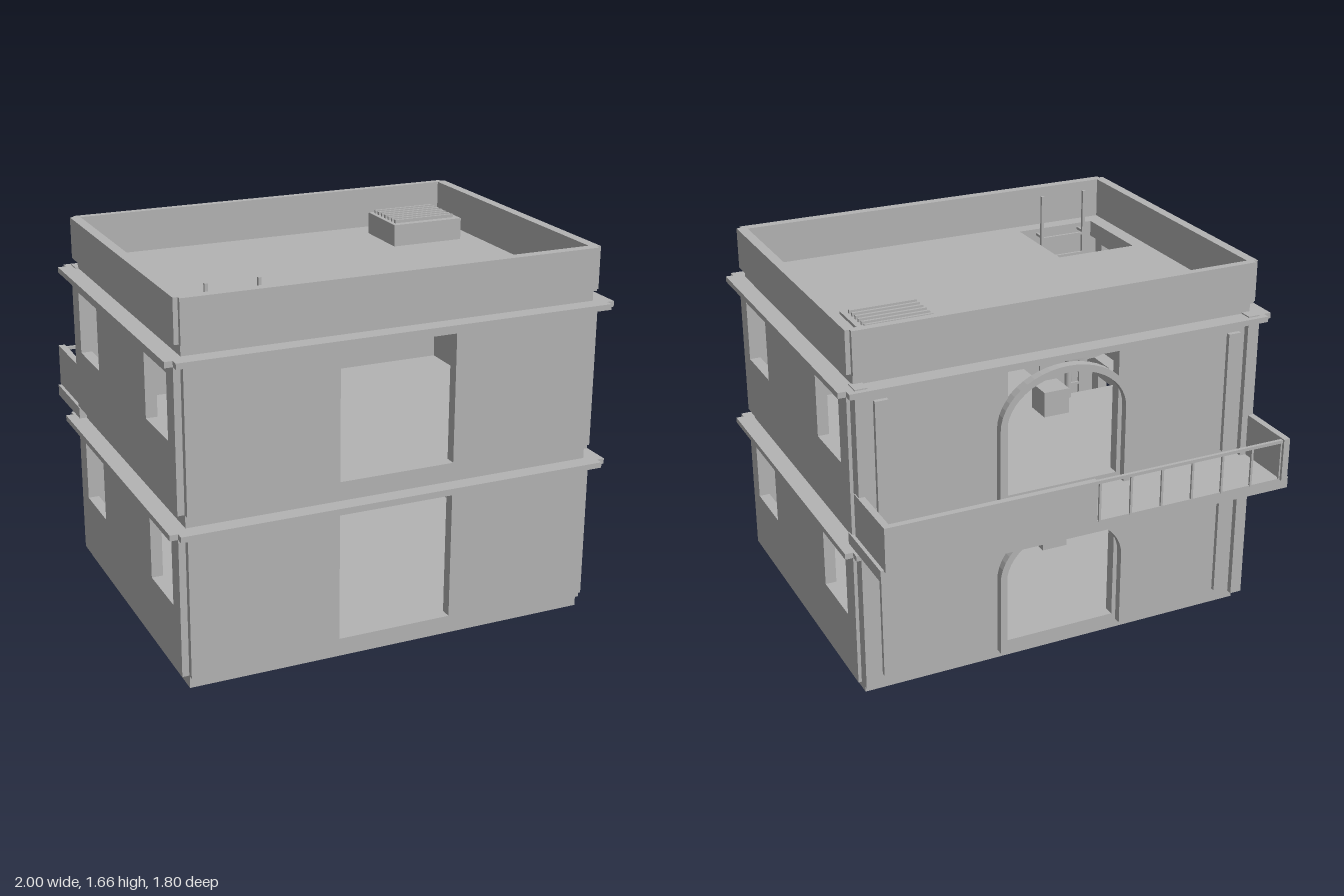
import * as THREE from 'three';

const stone = new THREE.MeshStandardMaterial({ color: 0xb3b3b3 });
stone.name = 'pale grey stone';

export function createModel() {
  const root = new THREE.Group();
  root.name = 'twoStoreyHouse';

  const add = (name, geo, parent = root) => {
    const m = new THREE.Mesh(geo, stone);
    m.name = name;
    parent.add(m);
    return m;
  };
  // Box given by its limits on each axis
  const box = (name, x0, x1, y0, y1, z0, z1, parent) => {
    const g = new THREE.BoxGeometry(x1 - x0, y1 - y0, z1 - z0);
    g.translate((x0 + x1) / 2, (y0 + y1) / 2, (z0 + z1) / 2);
    return add(name, g, parent);
  };
  const trace = (path, pts) => {
    pts.forEach(([x, y], i) => (i ? path.lineTo(x, y) : path.moveTo(x, y)));
    path.closePath();
    return path;
  };
  const rect = (x0, x1, y0, y1) => [[x0, y0], [x1, y0], [x1, y1], [x0, y1]];
  const extrude = (outline, holes, depth) => {
    const s = trace(new THREE.Shape(), outline);
    holes.forEach(h => s.holes.push(trace(new THREE.Path(), h)));
    return new THREE.ExtrudeGeometry(s, { depth, bevelEnabled: false });
  };
  // Horizontal plate from an (x, -z) outline
  const plate = (name, outline, holes, y0, y1) => {
    const g = extrude(outline, holes, y1 - y0);
    g.rotateX(-Math.PI / 2);
    g.translate(0, y0, 0);
    return add(name, g);
  };
  // Rectangle with small square notches at its corners
  const notched = (x, zBack, zFront, n) => {
    const b = -zBack, f = -zFront;
    return [[-x + n, f], [x - n, f], [x - n, f + n], [x, f + n], [x, b - n], [x - n, b - n],
      [x - n, b], [-x + n, b], [-x + n, b - n], [-x, b - n], [-x, f + n], [-x + n, f + n]];
  };

  const hatch = rect(-0.83, -0.44, -0.73, -0.31);
  const body = rect(-0.92, 0.92, -0.825, 0.56);

  // Floor slabs, cornices and parapet
  plate('baseSlab', body, [], 0, 0.06);
  plate('middleFloor', body, [hatch], 0.71, 0.775);
  plate('roofSlab', body, [hatch], 1.425, 1.48);
  plate('lowerCornice', notched(1, -0.64, 0.9, 0.035), [hatch], 0.69, 0.715);
  plate('upperCornice', notched(1, -0.64, 0.9, 0.035), [hatch], 1.405, 1.43);
  plate('parapet', notched(0.945, -0.58, 0.845, 0.02),
    [rect(-0.9, 0.9, -0.8, 0.545)], 1.478, 1.665);

  // One storey; y = 0 is the storey's own base
  const archOutline = (a, peak, spring, flip) => {
    const pts = [];
    for (let i = 0; i <= 24; i++) {
      const t = (Math.PI * i) / 24;
      pts.push([a * Math.cos(t), spring + (peak - spring) * Math.sin(t)]);
    }
    return flip ? pts.reverse() : pts;
  };
  [0, 0.715].forEach((base, level) => {
    const storey = new THREE.Group();
    storey.name = level ? 'upperStorey' : 'lowerStorey';
    storey.position.y = base;
    root.add(storey);

    // Front and back walls with doorways
    const door = rect(-0.26, 0.26, 0.095, 0.662);
    for (const [name, z] of [['frontWall', 0.8], ['backWall', -0.59]]) {
      add(name, extrude(rect(-0.92, 0.92, 0.055, 0.695), [door], 0.05), storey).position.z = z;
    }
    // Side walls with two windows each
    const windows = [rect(-0.735, -0.46, 0.343, 0.627), rect(0.19, 0.465, 0.343, 0.627)];
    for (const x of [-0.95, 0.9]) {
      const g = extrude(rect(-0.82, 0.56, 0.055, 0.695), windows, 0.05);
      g.rotateY(Math.PI / 2);
      add('sideWall', g, storey).position.x = x;
    }
    // Open arch surround at the back door
    const ring = [[0.31, 0.06], ...archOutline(0.31, 0.655, 0.415, false), [-0.31, 0.06],
      [-0.28, 0.06], ...archOutline(0.28, 0.625, 0.415, true), [0.28, 0.06]];
    add('archSurround', extrude(ring, [], 0.04), storey).position.z = -0.625;

    // Corner piers and slim wall strips at the back
    for (const s of [-1, 1]) {
      const span = (a, b) => (s > 0 ? [a, b] : [-b, -a]);
      box('cornerPier', ...span(0.88, 0.935), 0.055, level ? 0.72 : 0.695, -0.617, -0.55, storey);
      box('wallStrip', ...span(0.79, 0.85), 0.09, 0.65, -0.61, -0.58, storey);
    }

    // Round table and stool
    const top = add('tableTop', new THREE.CylinderGeometry(0.19, 0.19, 0.02, 32), storey);
    top.position.set(-0.48, 0.338, 0.28);
    const leg = add('tableLeg', new THREE.CylinderGeometry(0.016, 0.016, 0.28, 16), storey);
    leg.position.set(-0.48, 0.195, 0.28);
    box('stool', -0.4, -0.27, 0.055, 0.185, 0.115, 0.245, storey);
  });

  // Balcony: slab, solid sides, half wall and half open railing
  box('balconySlab', -0.955, 0.955, 0.718, 0.77, -0.885, -0.53);
  box('balconySide', -0.94, -0.91, 0.765, 0.963, -0.9, -0.575);
  box('balconySide', 0.91, 0.94, 0.765, 0.963, -0.9, -0.575);
  box('balconyWall', 0, 0.94, 0.765, 0.963, -0.9, -0.872);
  box('handRail', -0.92, 0.005, 0.943, 0.957, -0.89, -0.875);
  for (let i = 0; i < 7; i++) {
    const x = -0.02 - i * 0.148;
    box('railPost', x - 0.005, x + 0.005, 0.765, 0.945, -0.887, -0.877);
  }

  // Ladder through both hatches
  for (const x of [-0.757, -0.533]) {
    box('ladderRail', x - 0.007, x + 0.007, 0.055, 1.66, 0.667, 0.681);
    for (const y of [0.7, 1.45]) box('ladderBracket', x - 0.006, x + 0.006, y, y + 0.012, 0.67, 0.735);
  }
  for (let y = 0.14; y < 1.5; y += 0.1) {
    box('ladderRung', -0.757, -0.533, y, y + 0.012, 0.668, 0.68);
  }

  // Rooftop cooling unit with slats
  box('coolingUnit', 0.47, 0.815, 1.475, 1.58, -0.425, -0.15);
  for (let i = 0; i < 7; i++) {
    const z = -0.405 + i * 0.035;
    box('coolingSlat', 0.49, 0.79, 1.575, 1.595, z, z + 0.012);
  }
  return root;
}
